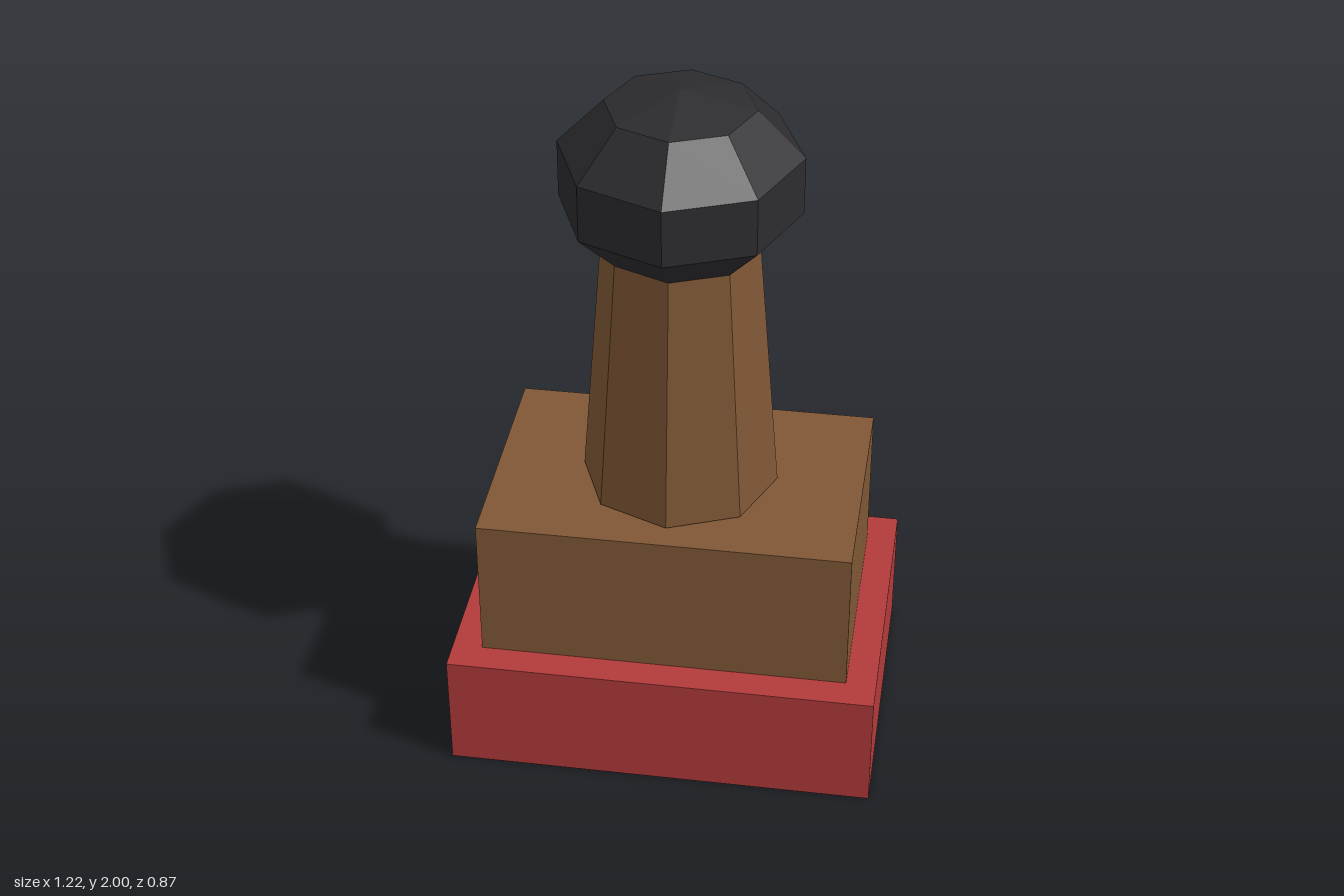
import * as THREE from 'three';

export function createModel() {
  const model = new THREE.Group();
  const mat = (color) => new THREE.MeshStandardMaterial({ color, flatShading: true });
  const red = mat(0xb23a3a), wood = mat(0x7f5735), black = mat(0x2c2c2f);

  const add = (name, geometry, material, y) => {
    const mesh = new THREE.Mesh(geometry, material);
    mesh.name = name;
    mesh.position.y = y;
    model.add(mesh);
  };

  // Stepped rectangular base
  add('basePad', new THREE.BoxGeometry(1.216, 0.35, 0.868), red, 0.175);
  add('baseBlock', new THREE.BoxGeometry(1.045, 0.43, 0.694), wood, 0.565);

  // Tapered eight-sided handle, just clear of the block
  add('handle', new THREE.CylinderGeometry(0.217, 0.278, 0.76, 8), wood, 1.167);

  // Faceted knob
  const profile = [[0, 1.545], [0.217, 1.545], [0.33, 1.66], [0.33, 1.823], [0.203, 1.953], [0, 2]]
    .map(([r, y]) => new THREE.Vector2(r, y));
  add('knob', new THREE.LatheGeometry(profile, 8), black, 0);

  return model;
}
